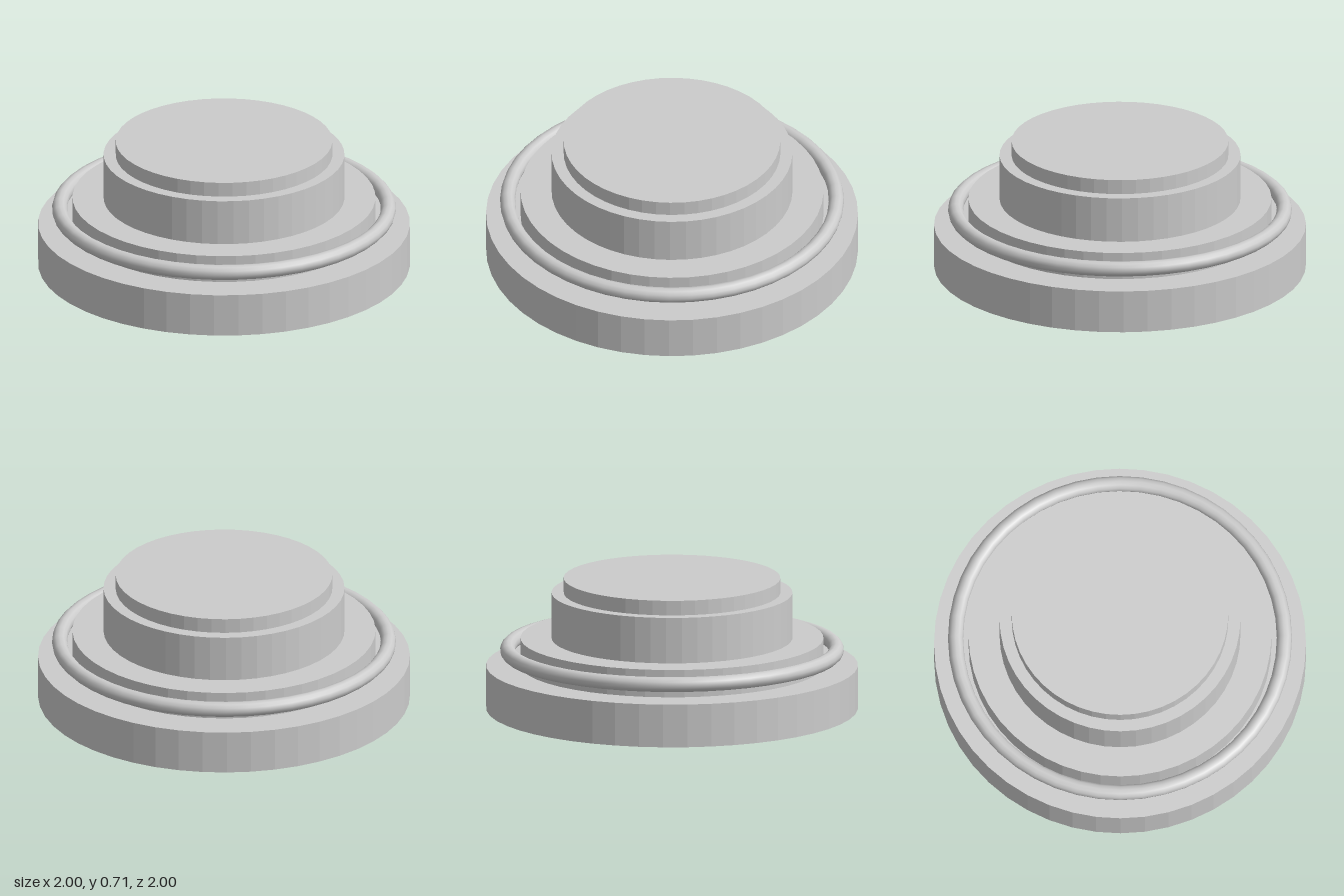
import * as THREE from 'three';

const SIDES = 48;

export function createModel() {
  const group = new THREE.Group();
  const faceted = new THREE.MeshStandardMaterial({ color: 0xcccccc, flatShading: true });
  const smooth = new THREE.MeshStandardMaterial({ color: 0xcccccc });

  // Stacked round tiers: name, radius, bottom, top
  const tiers = [
    ['base', 1, 0, 0.235],
    ['collar', 0.815, 0.235, 0.385],
    ['drum', 0.648, 0.385, 0.635],
    ['topCap', 0.583, 0.635, 0.715],
  ];
  for (const [name, radius, bottom, top] of tiers) {
    const tier = new THREE.Mesh(new THREE.CylinderGeometry(radius, radius, top - bottom, SIDES), faceted);
    tier.name = name;
    tier.position.y = (bottom + top) / 2;
    group.add(tier);
  }

  // Loose ring floating around the collar
  const ring = new THREE.Mesh(new THREE.TorusGeometry(0.884, 0.041, 12, SIDES), smooth);
  ring.name = 'ring';
  ring.rotation.x = -Math.PI / 2;
  ring.position.y = 0.32;
  group.add(ring);

  return group;
}
